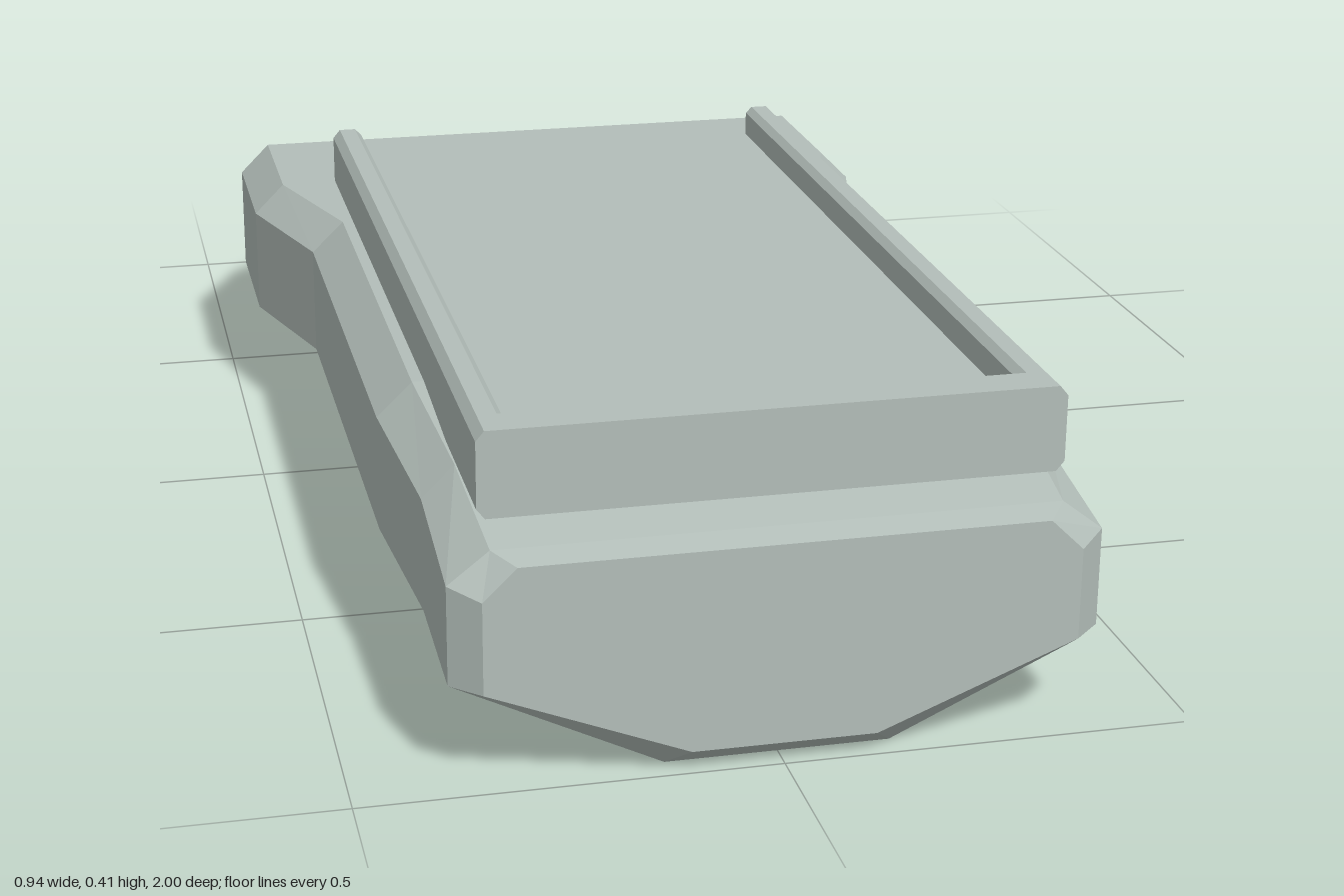
import * as THREE from 'three';

const material = new THREE.MeshStandardMaterial({ color: 0xb3beb9, flatShading: true });

// Closed loft through mirrored eight-sided sections, ordered front to back
function loft(sections) {
  const rings = sections.map(([z, bw, yb, w, yl, yu, tw, yt]) => {
    const half = [[bw, yb], [w, yl], [w, yu], [tw, yt]];
    const other = half.map(([x, y]) => [-x, y]).reverse();
    return [...half, ...other].map(([x, y]) => [x, y, z]);
  });
  const n = rings[0].length;
  const pos = [];
  const tri = (...p) => p.forEach((v) => pos.push(...v));
  for (let i = 0; i < rings.length - 1; i++) {
    for (let j = 0; j < n; j++) {
      const k = (j + 1) % n;
      const a = rings[i][j], b = rings[i][k], c = rings[i + 1][j], d = rings[i + 1][k];
      tri(a, c, b);
      tri(b, c, d);
    }
  }
  const front = rings[0], back = rings[rings.length - 1];
  for (let j = 1; j < n - 1; j++) {
    tri(front[0], front[j], front[j + 1]);
    tri(back[0], back[j + 1], back[j]);
  }
  const geo = new THREE.BufferGeometry();
  geo.setAttribute('position', new THREE.Float32BufferAttribute(pos, 3));
  geo.computeVertexNormals();
  return geo;
}

// Mirrored outline (right half, bottom to top) extruded along z
function extrudeProfile(half, z0, z1) {
  const points = [...half, ...half.map(([x, y]) => [-x, y]).reverse()];
  const shape = new THREE.Shape(points.map(([x, y]) => new THREE.Vector2(x, y)));
  return new THREE.ExtrudeGeometry(shape, { depth: z1 - z0, bevelEnabled: false }).translate(0, 0, z0);
}

function addMesh(parent, name, geometry) {
  const mesh = new THREE.Mesh(geometry, material);
  mesh.name = name;
  parent.add(mesh);
}

export function createModel() {
  const model = new THREE.Group();
  model.name = 'handheldDevice';

  // Body: z, bottom half width, bottom y, side half width, lower y, upper y, top half width, top y
  addMesh(model, 'body', loft([
    [1.0, 0.11, 0.027, 0.35, 0.123, 0.236, 0.31, 0.275],
    [0.967, 0.135, 0, 0.385, 0.123, 0.245, 0.335, 0.284],
    [0.79, 0.135, 0, 0.385, 0.135, 0.277, 0.345, 0.317],
    [0.56, 0.135, 0, 0.405, 0.143, 0.293, 0.36, 0.336],
    [-0.12, 0.135, 0, 0.405, 0.143, 0.293, 0.36, 0.336],
    [-0.33, 0.135, 0, 0.468, 0.143, 0.293, 0.425, 0.336],
    [-0.56, 0.135, 0, 0.468, 0.143, 0.293, 0.425, 0.336],
    [-0.78, 0.135, 0, 0.413, 0.104, 0.21, 0.373, 0.248],
    [-0.967, 0.135, 0, 0.284, 0.043, 0.062, 0.235, 0.102],
    [-1.0, 0.12, 0.013, 0.255, 0.045, 0.056, 0.205, 0.09],
  ]));

  // Tray with raised side rails, open at the back
  const tray = new THREE.Group();
  tray.name = 'tray';
  model.add(tray);
  const outer = [[0.335, 0.31], [0.345, 0.322], [0.345, 0.403], [0.335, 0.415]];
  const rail = [[0.312, 0.415], [0.303, 0.406], [0.303, 0.372]];
  addMesh(tray, 'trayFloorAndRails', extrudeProfile([...outer, ...rail], -0.337, 0.89));

  // Front lip closing the tray
  addMesh(tray, 'trayFrontLip', extrudeProfile(outer, 0.89, 0.94));

  return model;
}
